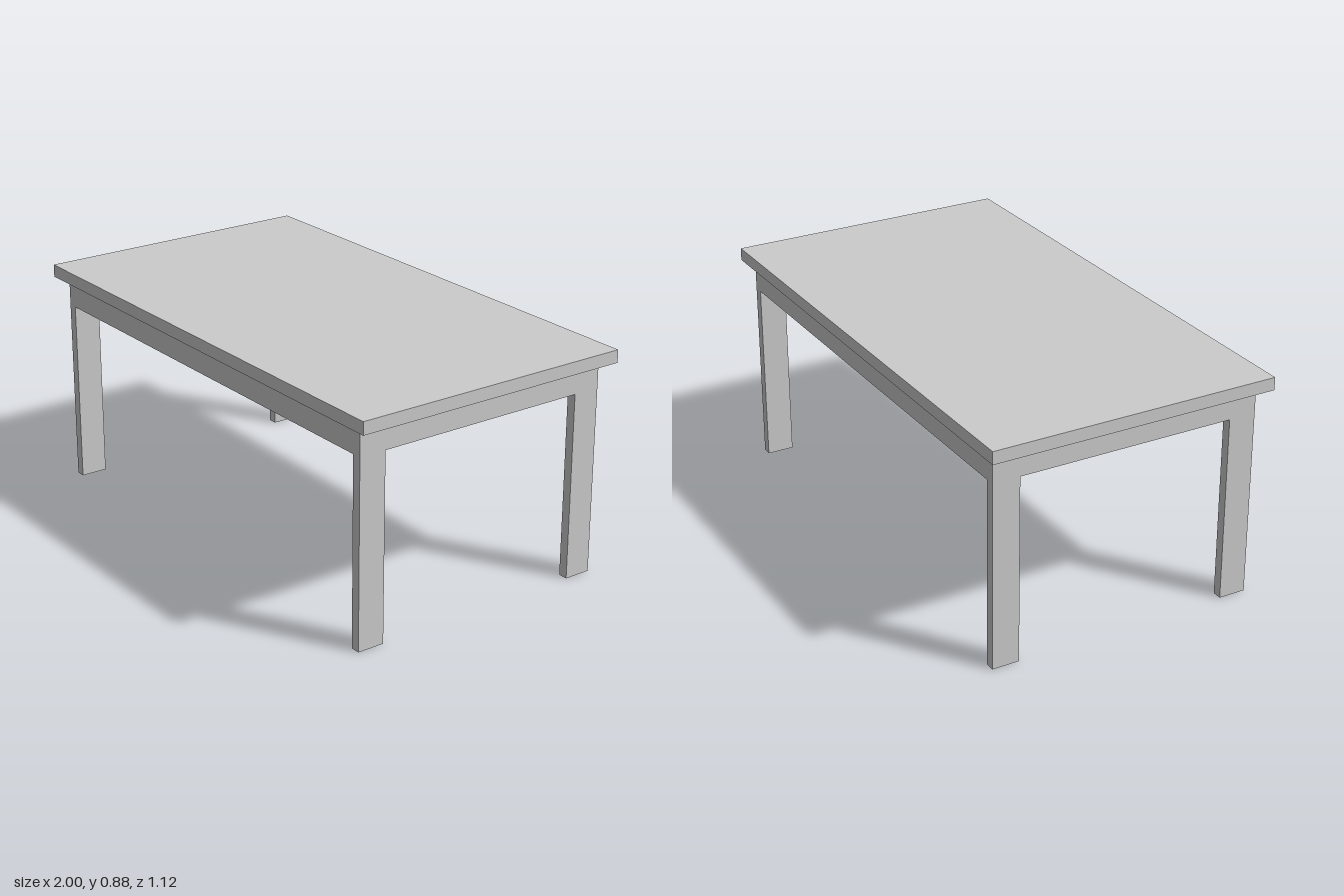
import * as THREE from 'three';

export function createModel() {
  const table = new THREE.Group();
  table.name = 'table';
  const solid = new THREE.MeshStandardMaterial({ color: 0xcccccc });
  const thin = new THREE.MeshStandardMaterial({ color: 0xcccccc, side: THREE.DoubleSide });

  const topY = 0.875, slabY = 0.826, apronY = 0.72;
  const outerX = 0.94, outerZ = 0.527;
  const legX = 0.037, legZ = 0.106;

  function add(name, geometry, material, x, y, z) {
    const mesh = new THREE.Mesh(geometry, material);
    mesh.name = name;
    mesh.position.set(x, y, z);
    table.add(mesh);
  }

  // Tabletop slab with a small overhang
  add('tabletop', new THREE.BoxGeometry(2, topY - slabY, 1.12), solid, 0, (topY + slabY) / 2, 0);

  // Apron block under the slab
  add('apron', new THREE.BoxGeometry(outerX * 2, slabY - apronY, outerZ * 2), solid, 0, (slabY + apronY) / 2, 0);

  // Hollow legs, flush with the apron corners: box walls without end caps
  const legGeometry = new THREE.BoxGeometry(legX, apronY, legZ);
  const index = Array.from(legGeometry.index.array);
  legGeometry.setIndex([...index.slice(0, 12), ...index.slice(24)]);
  legGeometry.clearGroups();
  for (const sx of [-1, 1]) {
    for (const sz of [-1, 1]) {
      const name = (sz > 0 ? 'front' : 'back') + (sx > 0 ? 'Left' : 'Right') + 'Leg';
      add(name, legGeometry, thin, sx * (outerX - legX / 2), apronY / 2, sz * (outerZ - legZ / 2));
    }
  }
  return table;
}
